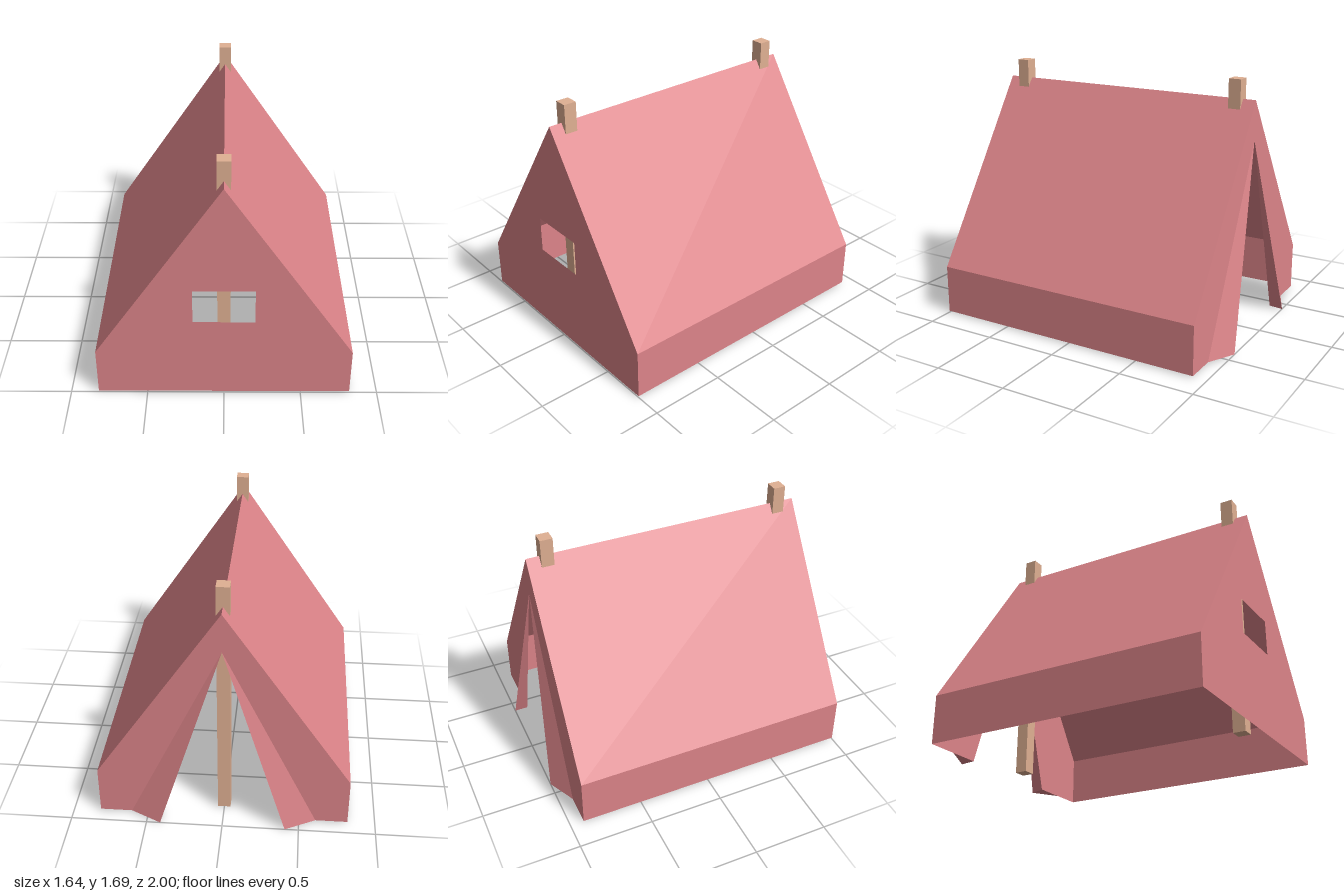
import * as THREE from 'three';

const FRONT = 1, BACK = -0.91, BASE = 0.01;
const HALF = 0.82, EAVE = 0.34, RIDGE = 1.56;

const canvas = new THREE.MeshStandardMaterial({ color: 0xdc8489, side: THREE.DoubleSide, flatShading: true });
const wood = new THREE.MeshStandardMaterial({ color: 0xe0b093, flatShading: true });

function add(group, name, geometry, material) {
  const mesh = new THREE.Mesh(geometry, material);
  mesh.name = name;
  group.add(mesh);
  return mesh;
}

const polygon = (points) => points.map(([x, y]) => new THREE.Vector2(x, y));

// Flat faces from lists of corners, each fanned into triangles
function facesGeometry(faces) {
  const positions = [];
  for (const f of faces) {
    for (let i = 1; i < f.length - 1; i++) positions.push(...f[0], ...f[i], ...f[i + 1]);
  }
  const geometry = new THREE.BufferGeometry();
  geometry.setAttribute('position', new THREE.Float32BufferAttribute(positions, 3));
  geometry.computeVertexNormals();
  return geometry;
}

export function createModel() {
  const tent = new THREE.Group();
  tent.name = 'tent';

  // Side walls and roof slopes: the outline swept from front to back
  const outline = [[HALF, BASE], [HALF, EAVE], [0, RIDGE], [-HALF, EAVE], [-HALF, BASE]];
  const names = ['leftWall', 'leftRoof', 'rightRoof', 'rightWall'];
  names.forEach((name, i) => {
    const [x0, y0] = outline[i], [x1, y1] = outline[i + 1];
    add(tent, name, facesGeometry([
      [[x0, y0, FRONT], [x0, y0, BACK], [x1, y1, BACK], [x1, y1, FRONT]],
    ]), canvas);
  });

  // Front wall with its window
  const frontShape = new THREE.Shape(polygon(outline));
  frontShape.holes.push(new THREE.Path(polygon([[-0.195, 0.59], [-0.195, 0.83], [0.195, 0.83], [0.195, 0.59]])));
  add(tent, 'frontWall', new THREE.ShapeGeometry(frontShape), canvas).position.z = FRONT;

  // Back wall with the doorway cut up from the ground
  const doorTop = 1.3, doorHalf = 0.4;
  const backShape = new THREE.Shape(polygon([...outline, [-doorHalf, BASE], [0, doorTop], [doorHalf, BASE]]));
  const backGeometry = new THREE.ShapeGeometry(backShape).rotateY(Math.PI);
  add(tent, 'backWall', backGeometry, canvas).position.z = BACK;

  // Door flaps folded outward on both sides of the doorway
  for (const s of [1, -1]) {
    const top = [0, doorTop, BACK];
    const outer = [s * 0.61, BASE, BACK];
    const fold = [s * 0.41, 0, -1];
    const inner = [s * doorHalf, BASE, BACK];
    const faces = [[top, outer, fold], [top, fold, inner], [outer, inner, fold]];
    if (s < 0) faces.forEach((f) => f.reverse());
    add(tent, s > 0 ? 'leftDoorFlap' : 'rightDoorFlap', facesGeometry(faces), canvas);
  }

  // Poles that stick out through the ridge
  const poleTop = 1.69;
  for (const [name, z] of [['frontPole', 0.87], ['backPole', -0.78]]) {
    const pole = add(tent, name, new THREE.BoxGeometry(0.084, poleTop - BASE, 0.084), wood);
    pole.position.set(0, (poleTop + BASE) / 2, z);
  }

  return tent;
}
